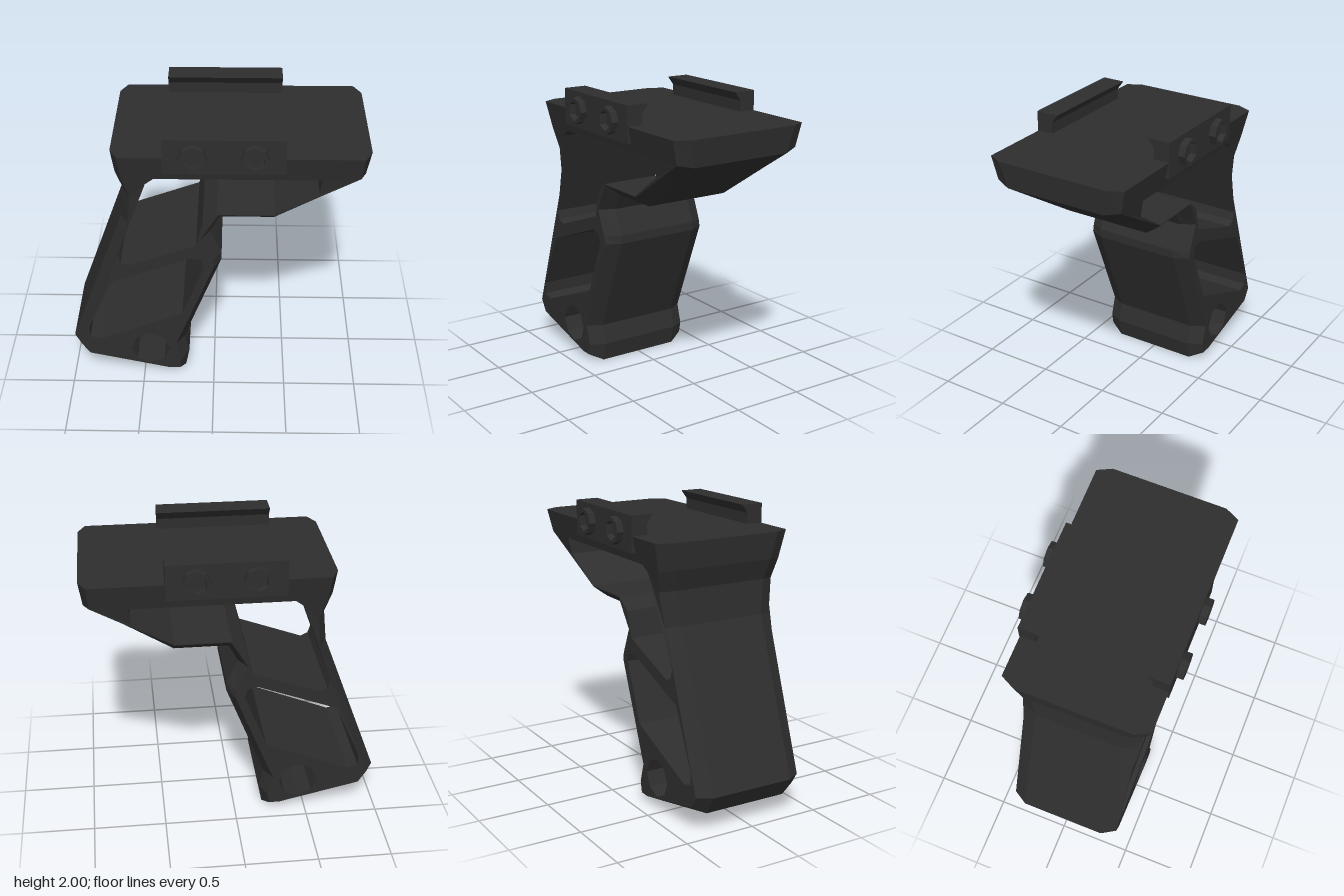
import * as THREE from 'three';

const V = (list) => list.map(([x, y]) => new THREE.Vector2(x, y));

// Silhouette at the middle of the grip, counter-clockwise from the top rear corner
const outline = V([
  [-0.66, 1.86], [-0.64, 1.68], [-0.595, 1.54], [-0.62, 1.31], [-1, 0.265], [-0.915, 0.13],
  [-0.325, 0], [-0.205, 0], [-0.18, 0.13], [-0.215, 0.265], [0.05, 0.95], [0.05, 1.01],
  [-0.03, 1.18], [0.035, 1.3], [0.4, 1.3], [0.8, 1.564], [0.975, 1.68], [1, 1.86],
]);

// Matching silhouette of the flat side faces, inside the chamfer
const sideOutline = V([
  [-0.61, 1.86], [-0.59, 1.67], [-0.545, 1.53], [-0.57, 1.3], [-0.94, 0.265], [-0.885, 0.18],
  [-0.32, 0.05], [-0.245, 0.05], [-0.23, 0.13], [-0.27, 0.265], [0, 0.95], [-0.01, 1.0],
  [-0.085, 1.18], [0.03, 1.378], [0.4, 1.378], [0.78, 1.606], [0.935, 1.7], [0.95, 1.86],
]);

// Openings through the grip, clockwise
const openings = [
  V([[-0.385, 1.685], [0.69, 1.685], [0.68, 1.57], [0.4, 1.385], [0.02, 1.385], [-0.075, 1.305],
    [-0.12, 1.125], [-0.58, 0.955], [-0.63, 0.98], [-0.65, 1.04], [-0.44, 1.64]]),
  V([[-0.155, 1.02], [-0.085, 1.005], [-0.065, 0.95], [-0.22, 0.545], [-0.8, 0.31],
    [-0.875, 0.33], [-0.877, 0.415], [-0.7, 0.815]]),
  ring(8, 0.135, 0).map((p) => new THREE.Vector2(p.x - 0.45, p.y + 0.23)).reverse(),
];

function ring(sides, radius, turn) {
  return Array.from({ length: sides }, (_, i) => {
    const a = turn + (i / sides) * Math.PI * 2;
    return new THREE.Vector2(radius * Math.cos(a), radius * Math.sin(a));
  });
}

// Half width of the grip, flaring towards the top
function halfWidth(y) {
  const t = Math.max(0, (y - 1.2) / 0.66);
  return 0.4 + 0.1 * Math.pow(t, 1.6);
}

function gripGeometry() {
  const positions = [];
  const tri = (...points) => points.forEach((p) => positions.push(...p));
  const section = (points, side, inset) =>
    points.map((p) => [p.x, p.y, side * (halfWidth(p.y) - inset)]);

  // Band of quads between two matching loops
  const band = (back, front) => {
    for (let i = 0; i < back.length; i++) {
      const j = (i + 1) % back.length;
      tri(back[i], back[j], front[j]);
      tri(back[i], front[j], front[i]);
    }
  };

  // Outer wall with a chamfer on both sides
  const loops = [
    section(sideOutline, -1, 0), section(outline, -1, 0.1),
    section(outline, 1, 0.1), section(sideOutline, 1, 0),
  ];
  for (let k = 0; k < 3; k++) band(loops[k], loops[k + 1]);

  // Walls of the openings
  openings.forEach((o) => band(section(o, -1, 0), section(o, 1, 0)));

  // Flat side faces
  const all = [...sideOutline, ...openings.flat()];
  const front = section(all, 1, 0);
  const back = section(all, -1, 0);
  THREE.ShapeUtils.triangulateShape(sideOutline, openings).forEach(([a, b, c]) => {
    tri(front[a], front[b], front[c]);
    tri(back[c], back[b], back[a]);
  });

  const geometry = new THREE.BufferGeometry();
  geometry.setAttribute('position', new THREE.Float32BufferAttribute(positions, 3));
  geometry.computeVertexNormals();
  return geometry;
}

export function createModel() {
  const model = new THREE.Group();
  model.name = 'foregrip';
  const darkPolymer = new THREE.MeshStandardMaterial({ color: 0x2e2e2e });
  darkPolymer.name = 'dark polymer';

  const add = (parent, geometry, name) => {
    const mesh = new THREE.Mesh(geometry, darkPolymer);
    mesh.name = name;
    parent.add(mesh);
    return mesh;
  };

  add(model, gripGeometry(), 'gripFrame');

  // Rail clamp: hooked bar, extruded along x
  const length = 0.78;
  const clampShape = new THREE.Shape(V([
    [0.39, 1.75], [0.505, 1.75], [0.505, 1.995], [0.345, 1.995], [0.39, 1.935],
  ]));
  const clampGeometry = new THREE.ExtrudeGeometry(clampShape, { depth: length, bevelEnabled: false });
  clampGeometry.rotateY(-Math.PI / 2).translate(length / 2, 0, 0);

  // Bolt: eight-sided head with a six-sided socket
  const boltShape = new THREE.Shape(ring(8, 0.093, 0));
  boltShape.holes.push(new THREE.Path(ring(6, 0.068, Math.PI / 6).reverse()));
  const boltGeometry = new THREE.ExtrudeGeometry(boltShape, { depth: 0.05, bevelEnabled: false });

  for (const side of ['front', 'back']) {
    const clamp = new THREE.Group();
    clamp.name = side + 'RailClamp';
    clamp.position.x = 0.065;
    clamp.rotation.y = side === 'front' ? 0 : Math.PI;
    add(clamp, clampGeometry, 'clampBar');
    for (const x of [-0.195, 0.195]) {
      add(clamp, boltGeometry, 'clampBolt').position.set(x, 1.873, 0.502);
    }
    model.add(clamp);
  }
  return model;
}
